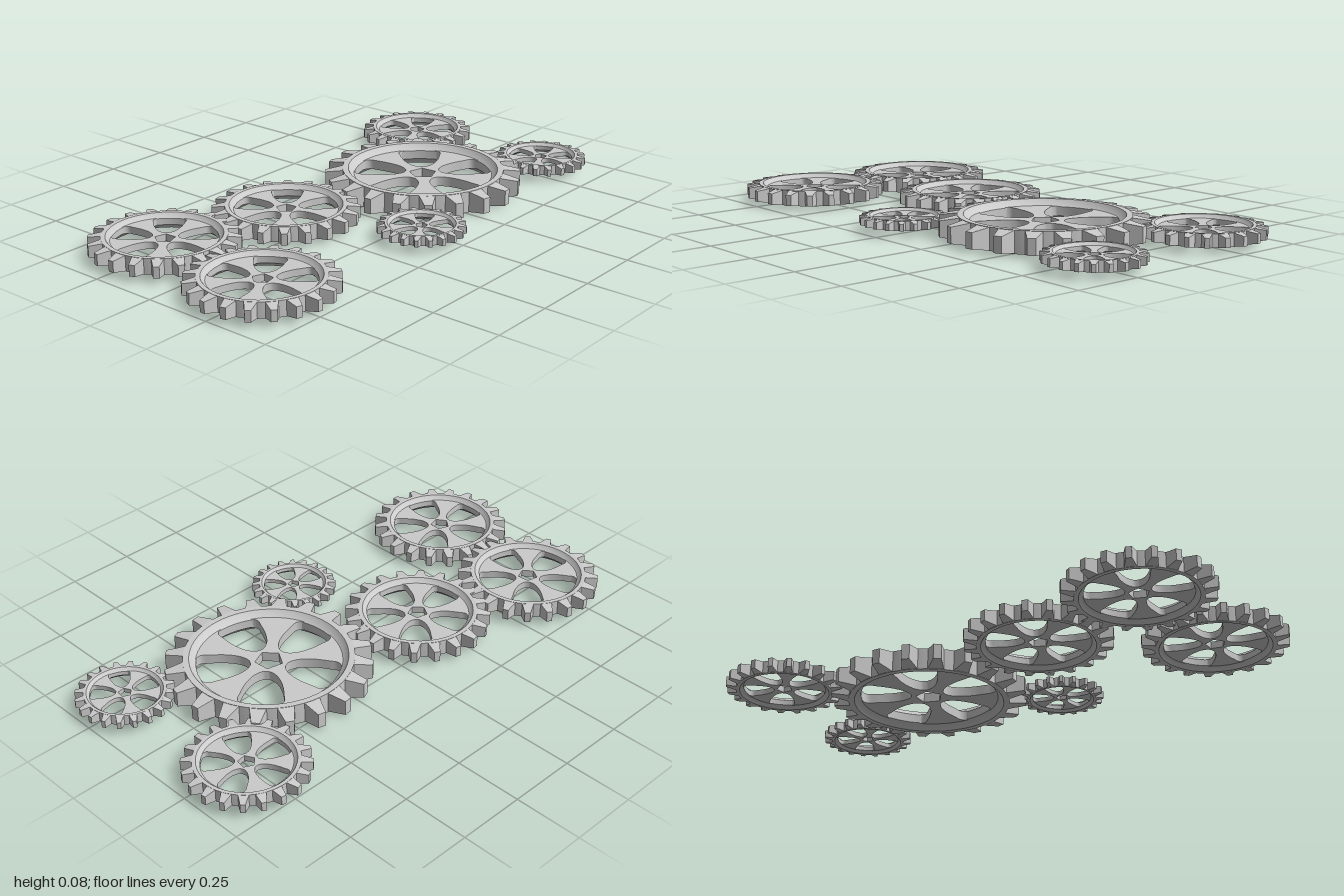
import * as THREE from 'three';
import { mergeGeometries, toCreasedNormals } from 'three/addons/utils/BufferGeometryUtils.js';

const TEETH = 20, SPOKES = 5, HALF = 0.11;

// point at radius r, angle a clockwise from the top of the gear
const polar = (r, a) => new THREE.Vector2(r * Math.sin(a), r * Math.cos(a));

// outer ring with a bevelled inner wall, same on both faces
function rimGeometry() {
  const top = [[0.70, 0.045], [0.735, 0.07], [0.765, HALF], [0.825, HALF]];
  const profile = [...top.map(([r, y]) => [r, -y]), ...top.reverse()];
  profile.push(profile[0]);
  // run from the lower inner edge, out, up and back in
  const points = profile.map(([r, y]) => new THREE.Vector2(r, y));
  return toCreasedNormals(new THREE.LatheGeometry(points, 60), 0.4);
}

// teeth narrow towards the tip in width and in height
function teethGeometry() {
  const levels = [[0.80, 0.085, HALF], [0.89, 0.064, 0.095], [1, 0.04, 0.078]];
  const teeth = [];
  for (let i = 0; i < TEETH; i++) {
    const tooth = new THREE.BoxGeometry(2, 2, 2, 1, 1, 2);
    const p = tooth.attributes.position;
    for (let k = 0; k < p.count; k++) {
      const [r, w, h] = levels[Math.round(1 - p.getZ(k))];
      p.setXYZ(k, p.getX(k) * w, p.getY(k) * h, -r);
    }
    tooth.rotateY((i / TEETH) * Math.PI * 2);
    teeth.push(tooth);
  }
  return toCreasedNormals(mergeGeometries(teeth), 0.1);
}

// recessed plate: rounded windows leave flared spokes and a small hub
function spokesGeometry() {
  const plate = new THREE.Shape().absarc(0, 0, 0.74, 0, Math.PI * 2);
  const half = [[0.71, 12], [0.67, 19], [0.58, 21], [0.45, 24], [0.33, 25], [0.25, 22], [0.195, 12]];
  const outline = [[0.715, 0], ...half, [0.185, 0], ...half.slice().reverse().map(([r, a]) => [r, -a])];
  const hub = [];
  for (let i = 0; i < SPOKES; i++) {
    const mid = ((i + 0.5) / SPOKES) * Math.PI * 2;
    const points = outline.map(([r, a]) => polar(r, mid + THREE.MathUtils.degToRad(a)));
    const curve = new THREE.SplineCurve([...points, points[0]]);
    plate.holes.push(new THREE.Path(curve.getPoints(48).slice(0, -1)));
    hub.push(polar(0.14, mid));
  }
  plate.holes.push(new THREE.Path(hub));
  const geometry = new THREE.ExtrudeGeometry(plate, { depth: 0.1, bevelEnabled: false, curveSegments: 30 });
  geometry.translate(0, 0, -0.05).rotateX(-Math.PI / 2);
  return toCreasedNormals(geometry, 0.5);
}

export function createModel() {
  const material = new THREE.MeshStandardMaterial({ color: 0xcccccc });
  const parts = { rim: rimGeometry(), teeth: teethGeometry(), spokes: spokesGeometry() };

  // name, x, z, tip radius, clockwise turn in degrees
  const gears = [
    ['backRightGear', -0.30, -0.776, 0.216, 9],
    ['backLeftGear', 0.267, -0.828, 0.172, 9],
    ['largeGear', 0.047, -0.362, 0.366, -4.6],
    ['smallGear', 0.348, 0.037, 0.157, 5],
    ['middleGear', -0.113, 0.227, 0.265, -4.6],
    ['frontRightGear', -0.24, 0.70, 0.262, -4],
    ['frontLeftGear', 0.243, 0.735, 0.259, 3],
  ];

  const model = new THREE.Group();
  model.name = 'gearTrain';
  for (const [name, x, z, radius, turn] of gears) {
    const gear = new THREE.Group();
    gear.name = name;
    for (const [part, geometry] of Object.entries(parts)) {
      const mesh = new THREE.Mesh(geometry, material);
      mesh.name = part;
      gear.add(mesh);
    }
    gear.scale.setScalar(radius);
    gear.rotation.y = -THREE.MathUtils.degToRad(turn);
    gear.position.set(x, 0.366 * HALF, z);
    model.add(gear);
  }
  return model;
}
